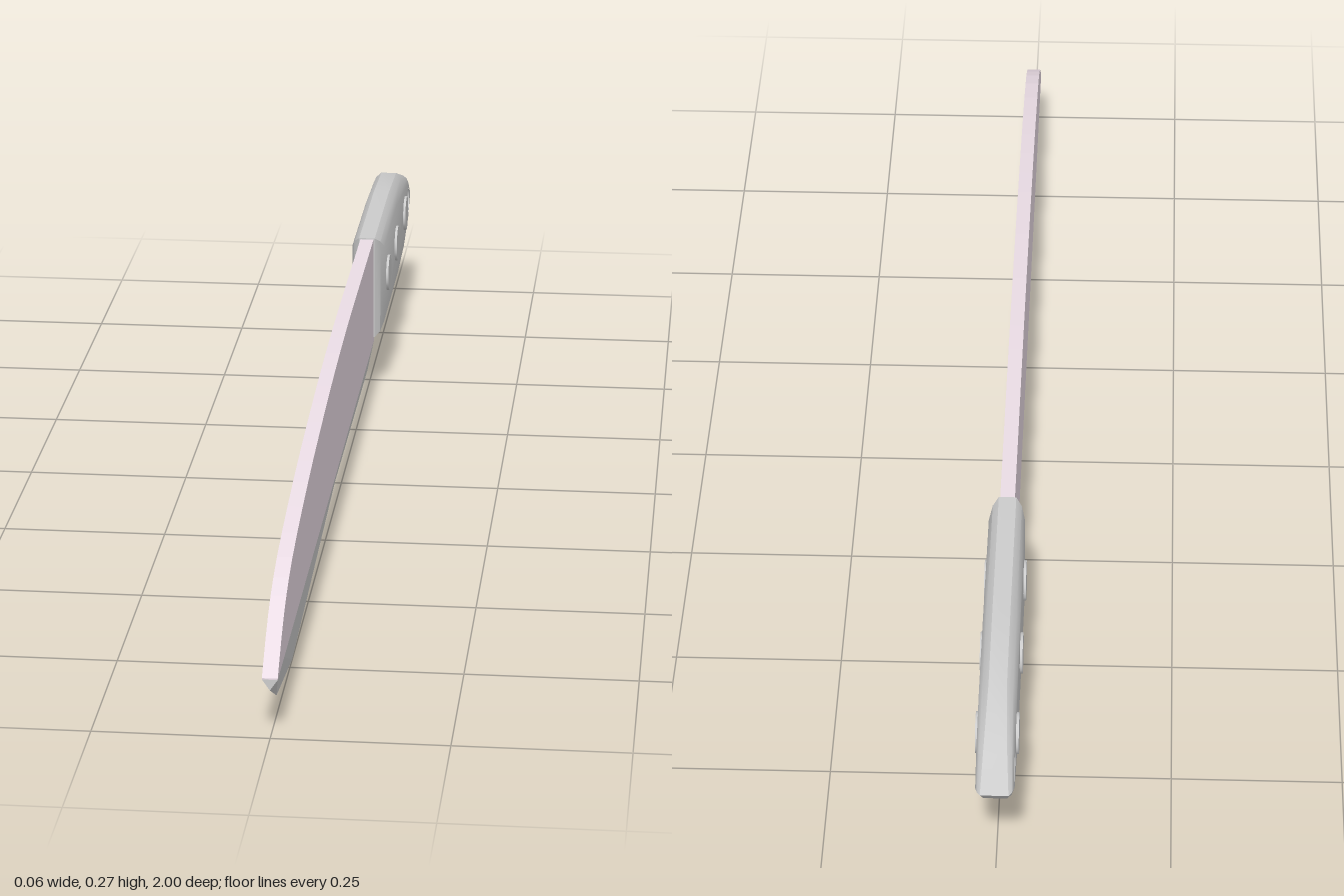
import * as THREE from 'three';
import { mergeVertices, mergeGeometries, toCreasedNormals } from 'three/addons/utils/BufferGeometryUtils.js';

const T = 0.011;       // half thickness of the blade
const BEVEL_Y = 0.088; // height where the flat blade meets the ground edge

const grey = new THREE.MeshStandardMaterial({ color: 0xcccccc });
const steel = new THREE.MeshStandardMaterial({ color: 0xeadce5 });

function part(name, geometry, material = grey) {
  const mesh = new THREE.Mesh(geometry, material);
  mesh.name = name;
  return mesh;
}

// Unindexed geometry from triangles and quads with corners anticlockwise
function fromFaces(faces) {
  const pos = [];
  for (const f of faces) {
    for (let i = 1; i < f.length - 1; i++) pos.push(...f[0], ...f[i], ...f[i + 1]);
  }
  const g = new THREE.BufferGeometry();
  g.setAttribute('position', new THREE.Float32BufferAttribute(pos, 3));
  g.computeVertexNormals();
  return g;
}

// Flat upper blade with a curved spine, drawn in (z, y)
function bladeGeometry() {
  const spine = new THREE.SplineCurve([
    [1, 0.09], [0.92, 0.152], [0.81, 0.194], [0.6, 0.228], [0.4, 0.248],
    [0.2, 0.262], [0, 0.269], [-0.2, 0.27], [-0.45, 0.27],
  ].map(([z, y]) => new THREE.Vector2(z, y)));
  const shape = new THREE.Shape([
    new THREE.Vector2(-0.45, BEVEL_Y), new THREE.Vector2(1, BEVEL_Y), ...spine.getPoints(24),
  ]);
  const g = new THREE.ExtrudeGeometry(shape, { depth: 2 * T, bevelEnabled: false });
  return g.translate(0, 0, -T).rotateY(-Math.PI / 2);
}

// Wedge that narrows down to the cutting edge
function edgeGeometry() {
  const edge = [[1, 0.072], [0.92, 0.03], [0.72, 0], [0.1, 0.04], [-0.45, 0.034]];
  const row = edge.map(([z, y]) => ({ r: [T, BEVEL_Y, z], l: [-T, BEVEL_Y, z], e: [0, y, z] }));
  const faces = [];
  for (let i = 0; i < row.length - 1; i++) {
    const a = row[i], b = row[i + 1];
    faces.push([a.r, a.e, b.e, b.r], [a.l, b.l, b.e, a.e]);
  }
  const tip = row[0], heel = row[row.length - 1];
  faces.push([tip.l, tip.e, tip.r], [heel.r, heel.e, heel.l]);
  return fromFaces(faces);
}

// Handle: side faces with a hole, joined by bevelled rings
const HOLE = { z: -0.94, y: 0.185, r: 0.023 };
const HALF = 0.027;

function handleGeometry() {
  // outer z, outer y, inset z, inset y, half width of the outer ring
  const outline = [
    [-0.437, 0.272, -0.465, 0.25, 0.013],
    [-0.7, 0.272, -0.7, 0.25, 0.013],
    [-0.85, 0.263, -0.845, 0.243, 0.013],
    [-0.958, 0.226, -0.945, 0.217, 0.017],
    [-1, 0.187, -0.985, 0.187, 0.02],
    [-0.958, 0.144, -0.945, 0.154, 0.017],
    [-0.86, 0.109, -0.855, 0.128, 0.013],
    [-0.74, 0.098, -0.735, 0.119, 0.013],
    [-0.437, 0.098, -0.465, 0.119, 0.013],
  ];
  // Bevel steps: x blend and inset blend, from side face to rim
  const steps = [[1, 1], [0.62, 0.38], [0, 0]];
  const ring = (s, [wx, wi]) => outline.map(([z, y, iz, iy, w]) => [
    s * (w + (HALF - w) * wx), y + (iy - y) * wi, z + (iz - z) * wi,
  ]);
  const rings = [
    ...steps.map((st) => ring(1, st)),
    ...steps.slice().reverse().map((st) => ring(-1, st)),
  ];
  const faces = [];
  for (let k = 0; k < rings.length - 1; k++) {
    for (let i = 0; i < outline.length; i++) {
      const j = (i + 1) % outline.length;
      faces.push([rings[k][i], rings[k][j], rings[k + 1][j], rings[k + 1][i]]);
    }
  }
  const geos = [fromFaces(faces)];
  for (const s of [1, -1]) {
    const shape = new THREE.Shape(outline.map((p) => new THREE.Vector2(-s * p[2], p[3])));
    const hole = new THREE.Path();
    hole.absarc(-s * HOLE.z, HOLE.y, HOLE.r, 0, Math.PI * 2, true);
    shape.holes.push(hole);
    const side = new THREE.ShapeGeometry(shape, 16).toNonIndexed();
    side.rotateY(s * Math.PI / 2).translate(s * HALF, 0, 0);
    geos.push(side);
  }
  geos.forEach((g) => { g.deleteAttribute('uv'); g.deleteAttribute('normal'); });
  return toCreasedNormals(mergeVertices(mergeGeometries(geos)), 0.55);
}

export function createModel() {
  const model = new THREE.Group();
  model.name = 'knife';

  model.add(part('blade', bladeGeometry(), steel));
  model.add(part('cuttingEdge', edgeGeometry()));

  const handle = new THREE.Group();
  handle.name = 'handle';
  handle.add(part('grip', handleGeometry()));

  // Lining of the hanging hole
  const lining = new THREE.CylinderGeometry(HOLE.r, HOLE.r, 2 * HALF, 16, 1, true);
  lining.rotateZ(Math.PI / 2).translate(0, HOLE.y, HOLE.z);
  const inside = grey.clone();
  inside.side = THREE.DoubleSide;
  handle.add(part('hangingHole', lining, inside));

  // Rivets stand slightly proud on both sides
  for (const z of [-0.525, -0.69, -0.865]) {
    const rivet = new THREE.CylinderGeometry(0.03, 0.03, 0.062, 20);
    rivet.rotateZ(Math.PI / 2).translate(0, 0.185, z);
    handle.add(part('rivet', rivet));
  }
  model.add(handle);
  return model;
}
